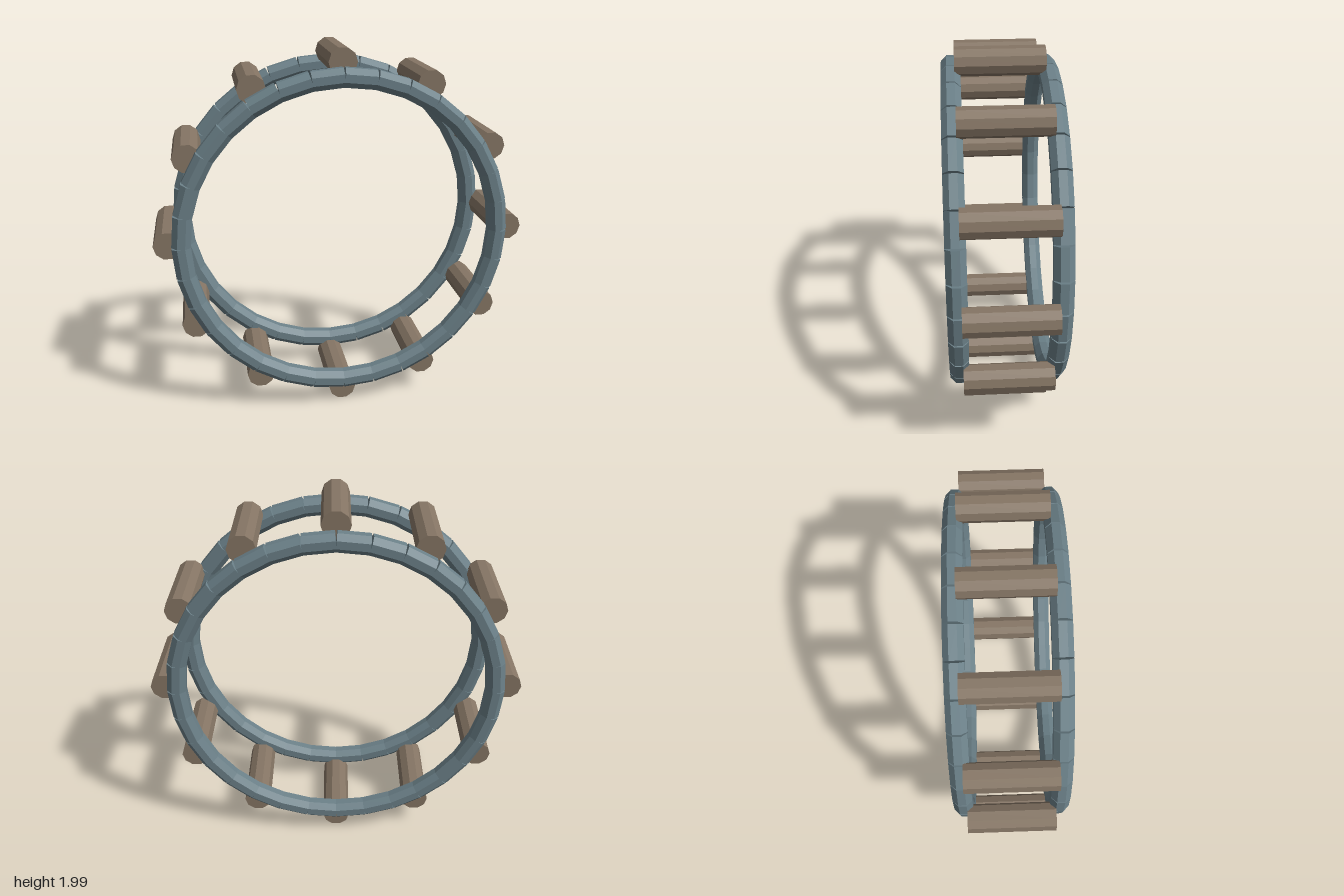
import * as THREE from 'three';

const RUNG_R = 0.075, RUNG_ORBIT = 0.925, RUNGS = 12;
const RING_R = 0.85, TUBE_R = 0.05, SEGMENTS = 32;
const CENTRE_Y = RUNG_ORBIT + RUNG_R * Math.sin(Math.PI * 0.4);

export function createModel() {
  const model = new THREE.Group();
  model.name = 'rungWheel';
  const metal = new THREE.MeshStandardMaterial({ color: 0x6b8088, flatShading: true });
  const wood = new THREE.MeshStandardMaterial({ color: 0x857564, flatShading: true });

  // Straight octagonal bars, flat sides outward, meeting at the tube's centre line
  const barGeometry = new THREE.CylinderGeometry(
    TUBE_R / Math.cos(Math.PI / 8), TUBE_R / Math.cos(Math.PI / 8),
    2 * RING_R * Math.sin(Math.PI / SEGMENTS), 8
  ).rotateY(Math.PI / 8);

  // Two rings, front and back
  for (const side of [1, -1]) {
    const ring = new THREE.Group();
    ring.name = side > 0 ? 'frontRing' : 'backRing';
    ring.position.set(0, CENTRE_Y, side * 0.25);
    for (let i = 0; i < SEGMENTS; i++) {
      const a = ((i + 0.5) / SEGMENTS) * Math.PI * 2;
      const bar = new THREE.Mesh(barGeometry, metal);
      bar.name = 'ringSegment';
      bar.position.set(RING_R * Math.cos(a), RING_R * Math.sin(a), 0);
      bar.rotation.z = a;
      ring.add(bar);
    }
    model.add(ring);
  }

  // Ten-sided rungs around the outside, all with a corner facing sideways
  const rungGeometry = new THREE.CylinderGeometry(RUNG_R, RUNG_R, 0.46, 10)
    .rotateY(Math.PI / 2).rotateX(Math.PI / 2);
  for (let i = 0; i < RUNGS; i++) {
    const a = (i / RUNGS) * Math.PI * 2;
    const rung = new THREE.Mesh(rungGeometry, wood);
    rung.name = 'rung';
    rung.position.set(RUNG_ORBIT * Math.cos(a), CENTRE_Y + RUNG_ORBIT * Math.sin(a), 0);
    model.add(rung);
  }
  return model;
}
